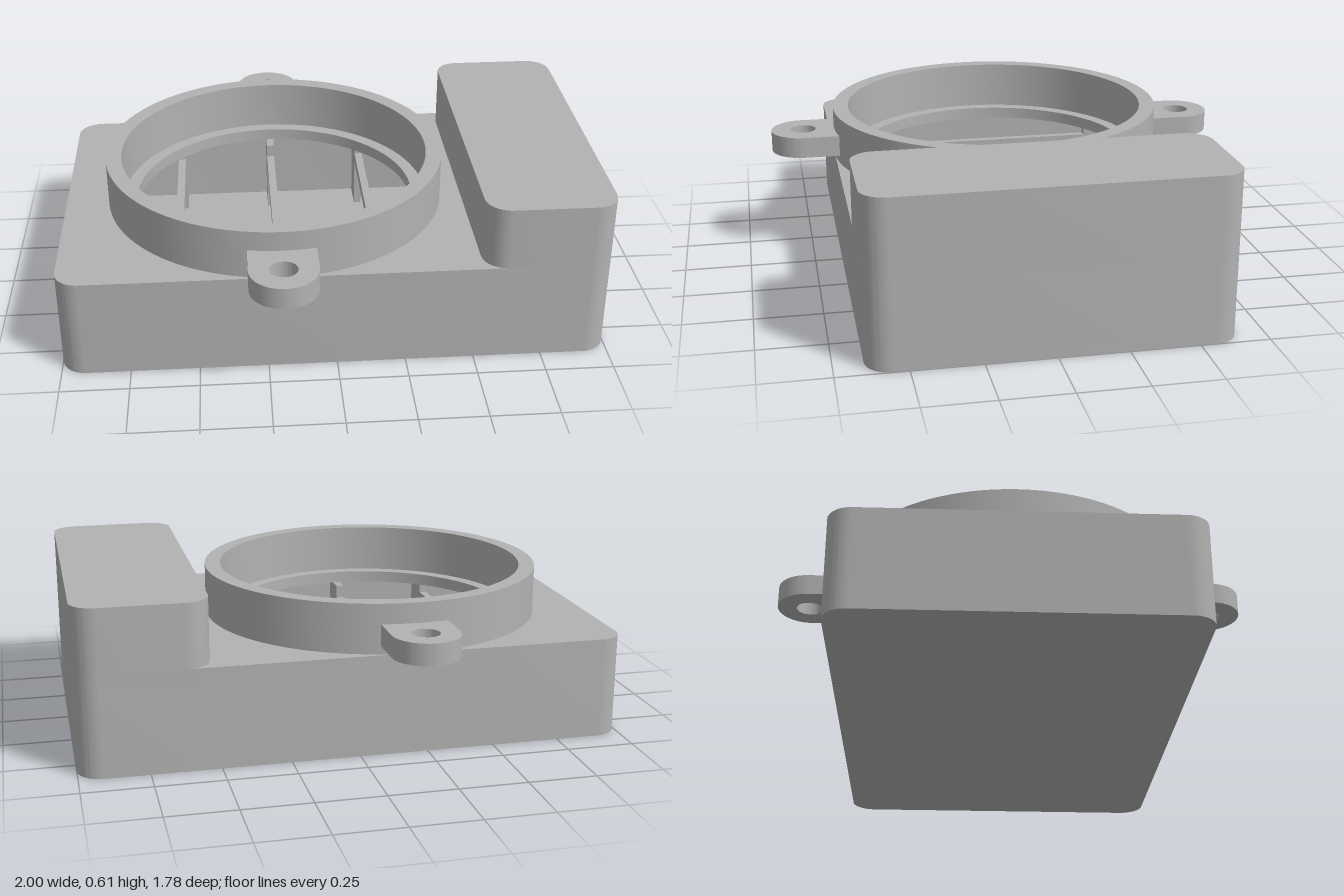
import * as THREE from 'three';
import { toCreasedNormals } from 'three/addons/utils/BufferGeometryUtils.js';

const CX = -0.195; // centre of the round opening

// Rounded rectangle in plan
function roundedRect(x0, x1, z0, z1, r, Type = THREE.Shape) {
  const s = new Type();
  s.moveTo(x0 + r, z0);
  s.lineTo(x1 - r, z0);
  s.absarc(x1 - r, z0 + r, r, -Math.PI / 2, 0);
  s.lineTo(x1, z1 - r);
  s.absarc(x1 - r, z1 - r, r, 0, Math.PI / 2);
  s.lineTo(x0 + r, z1);
  s.absarc(x0 + r, z1 - r, r, Math.PI / 2, Math.PI);
  s.lineTo(x0, z0 + r);
  s.absarc(x0 + r, z0 + r, r, Math.PI, Math.PI * 1.5);
  return s;
}

function circle(x, z, r, Type = THREE.Path) {
  const s = new Type();
  s.absarc(x, z, r, 0, Math.PI * 2);
  return s;
}

export function createModel() {
  const group = new THREE.Group();
  const grey = new THREE.MeshStandardMaterial({ color: 0xb2b2b2 });
  grey.name = 'grey plastic';

  const add = (name, geometry) => {
    const mesh = new THREE.Mesh(geometry, grey);
    mesh.name = name;
    group.add(mesh);
    return mesh;
  };
  // Extrude a plan shape upward from y0 to y1
  const slab = (name, shape, y0, y1, hole, segments = 12) => {
    if (hole) shape.holes.push(hole);
    const g = new THREE.ExtrudeGeometry(shape, { depth: y1 - y0, bevelEnabled: false, curveSegments: segments });
    g.rotateX(-Math.PI / 2).translate(0, y0, 0);
    return add(name, toCreasedNormals(g, 0.6));
  };
  const outline = () => roundedRect(-1, 1, -0.645, 0.645, 0.09);

  // Hollow housing: floor, walls and top plate with the round opening
  slab('floor', outline(), 0, 0.04);
  slab('walls', outline(), 0.04, 0.33, roundedRect(-0.95, 0.95, -0.595, 0.595, 0.04, THREE.Path));
  slab('topPlate', outline(), 0.33, 0.375, circle(CX, 0, 0.535), 64);

  // Raised block at the end
  slab('raisedBlock', roundedRect(0.525, 1, -0.645, 0.645, 0.09), 0.375, 0.61);

  // Collar around the opening
  slab('collar', circle(CX, 0, 0.645, THREE.Shape), 0.375, 0.56, circle(CX, 0, 0.585), 80);

  // Mounting ears, front and back
  for (const side of [1, -1]) {
    const ear = new THREE.Shape();
    ear.moveTo(CX + 0.123, 0.62 * side);
    ear.lineTo(CX + 0.123, 0.767 * side);
    ear.absarc(CX, 0.767 * side, 0.123, 0, Math.PI * side, side < 0);
    ear.lineTo(CX - 0.123, 0.62 * side);
    slab(side > 0 ? 'backEar' : 'frontEar', ear, 0.405, 0.485, circle(CX, 0.767 * side, 0.05), 24);
  }

  // Crossbars under the opening, each carried by a post at both ends
  for (const dx of [-0.375, 0, 0.375]) {
    add('crossbar', new THREE.BoxGeometry(0.03, 0.04, 1.19)).position.set(CX + dx, 0.26, 0);
    for (const side of [1, -1]) {
      add('barPost', new THREE.BoxGeometry(0.03, 0.29, 0.125)).position.set(CX + dx, 0.185, 0.5325 * side);
    }
  }
  return group;
}
